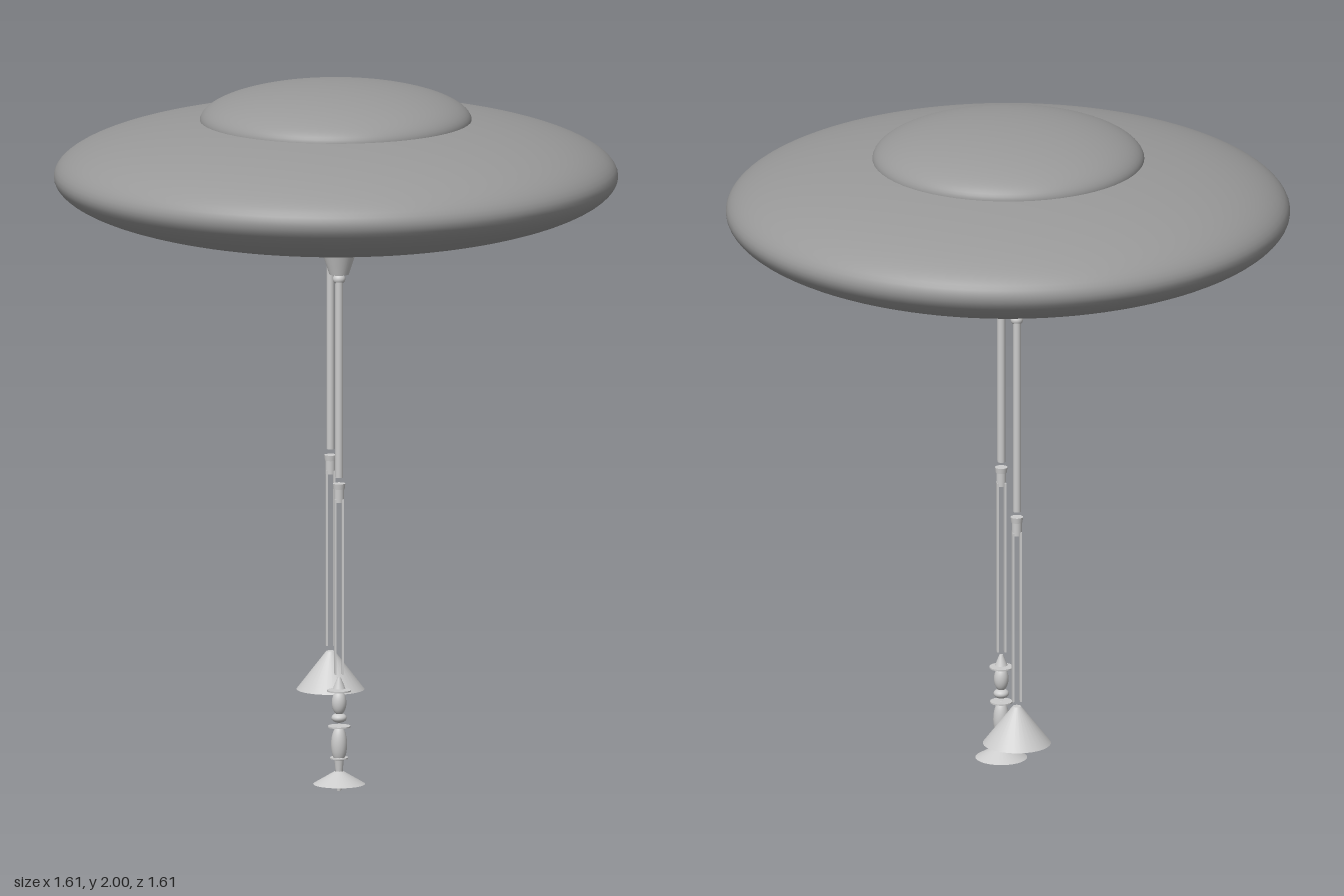
import * as THREE from 'three';

const grey = new THREE.MeshStandardMaterial({ color: 0xcccccc });
const greyBoth = new THREE.MeshStandardMaterial({ color: 0xcccccc, side: THREE.DoubleSide });
const darkGrey = new THREE.MeshStandardMaterial({ color: 0x999999 });

function add(parent, name, geometry, x, y, z, material = grey) {
  const mesh = new THREE.Mesh(geometry, material);
  mesh.name = name;
  mesh.position.set(x, y, z);
  parent.add(mesh);
  return mesh;
}

// Upright cylinder or cone between two heights
function post(parent, name, rTop, rBottom, y0, y1, z = 0, open = false) {
  const geo = new THREE.CylinderGeometry(rTop, rBottom, y1 - y0, 32, 1, open);
  return add(parent, name, geo, 0, (y0 + y1) / 2, z, open ? greyBoth : grey);
}

// Ellipsoid with equal x and z radii
function bulb(parent, name, r, ry, y) {
  return add(parent, name, new THREE.SphereGeometry(r, 24, 16).scale(1, ry / r, 1), 0, y, 0);
}

// Socket, twin upper rods, knee and twin lower plates shared by both legs
function makeLeg(name, z) {
  const leg = new THREE.Group();
  leg.name = name;
  leg.position.set(-0.004, 0, z);
  post(leg, 'hipSocket', 0.054, 0.028, 1.496, 1.575);
  bulb(leg, 'hipBall', 0.018, 0.016, 1.482);
  for (const s of [-1, 1]) {
    post(leg, 'upperRod', 0.011, 0.011, 0.908, 1.475, s * 0.006);
    add(leg, 'lowerPlate', new THREE.BoxGeometry(0.006, 0.507, 0.026), s * 0.0105, 0.5915, 0);
  }
  post(leg, 'kneeCap', 0.018, 0.016, 0.874, 0.89);
  post(leg, 'kneeJoint', 0.014, 0.014, 0.835, 0.874);
  return leg;
}

export function createModel() {
  const model = new THREE.Group();
  model.name = 'saucer';

  // Hull and dome
  add(model, 'hull', new THREE.SphereGeometry(0.804, 96, 48).scale(1, 0.184 / 0.804, 1),
    0, 1.737, 0, darkGrey);
  add(model, 'dome',
    new THREE.SphereGeometry(0.388, 64, 24, 0, Math.PI * 2, 0, Math.PI / 2).scale(1, 0.105 / 0.388, 1),
    0, 1.895, -0.01, darkGrey);

  // Front leg ending in a stack of turned pieces over a small foot
  const front = makeLeg('frontLeg', 0.236);
  post(front, 'ankleCone', 0.005, 0.018, 0.296, 0.328);
  for (const [r, y] of [[0.034, 0.29], [0.032, 0.186], [0.026, 0.095]]) {
    post(front, 'ankleDisc', r, r, y - 0.002, y + 0.002);
  }
  bulb(front, 'upperBulb', 0.021, 0.036, 0.255);
  bulb(front, 'middleBulb', 0.022, 0.014, 0.211);
  bulb(front, 'lowerBulb', 0.023, 0.055, 0.134);
  post(front, 'ankleNeck', 0.014, 0.01, 0.052, 0.095);
  post(front, 'footCone', 0.012, 0.074, 0.02, 0.057, 0, true);
  post(front, 'footPin', 0.012, 0.006, 0, 0.052);
  model.add(front);

  // Back leg ending in a bell with a recessed underside and a pin
  const back = makeLeg('backLeg', -0.216);
  post(back, 'footBell', 0.012, 0.097, 0.212, 0.322, 0, true);
  post(back, 'bellCap', 0.012, 0.012, 0.318, 0.322);
  post(back, 'bellRecess', 0.074, 0.074, 0.234, 0.237);
  post(back, 'bellPin', 0.018, 0.018, 0.216, 0.235);
  model.add(back);

  return model;
}
